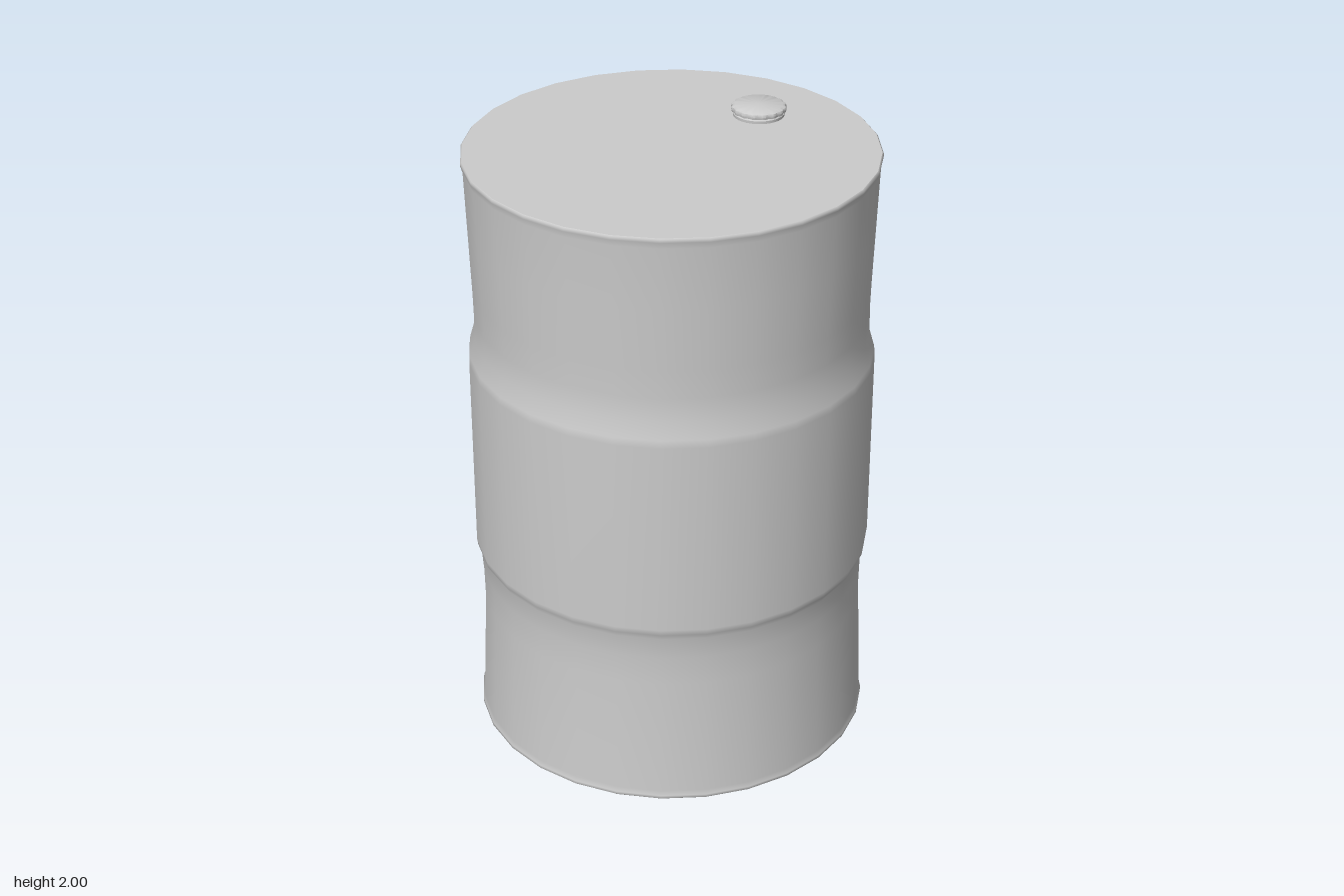
import * as THREE from 'three';
import { toCreasedNormals } from 'three/addons/utils/BufferGeometryUtils.js';

const SIDES = 28;
const TEETH = 16;
const material = new THREE.MeshStandardMaterial({ color: 0xcccccc });

// Revolve [radius, height] pairs, listed from bottom to top
function revolve(name, profile, sides) {
  const points = profile.map(([r, y]) => new THREE.Vector2(r, y));
  const mesh = new THREE.Mesh(new THREE.LatheGeometry(points, sides, Math.PI / sides), material);
  mesh.name = name;
  return mesh;
}

export function createModel() {
  const model = new THREE.Group();
  model.name = 'drum';

  // Shell: two waisted ends around a wider middle band
  model.add(revolve('shell', [
    [0.63, 0], [0.637, 0.006], [0.636, 0.015], [0.631, 0.03],
    [0.623, 0.24], [0.615, 0.43], [0.617, 0.53], [0.623, 0.605], [0.633, 0.625], [0.636, 0.645],
    [0.636, 1.285], [0.633, 1.31], [0.617, 1.365], [0.615, 1.44], [0.617, 1.53],
    [0.624, 1.73], [0.631, 1.93], [0.637, 1.95], [0.637, 1.959], [0.633, 1.963],
  ], SIDES));

  // Flat ends
  model.add(revolve('bottom', [[0, 0], [0.63, 0]], SIDES));
  model.add(revolve('lid', [[0.633, 1.963], [0, 1.963]], SIDES));

  // Filler cap: plain collar under a crimped crown
  const cap = new THREE.Group();
  cap.name = 'fillerCap';
  cap.position.set(0.37, 0, 0.07);

  const collar = revolve('collar', [[0.08, 1.96], [0.081, 1.972], [0.076, 1.978], [0.07, 1.982]], 32);
  collar.geometry = toCreasedNormals(collar.geometry, 0.6);

  const crown = revolve('crown', [
    [0.068, 1.976], [0.083, 1.978], [0.085, 1.986], [0.083, 1.993], [0.074, 1.998], [0, 2],
  ], TEETH * 4);
  const pos = crown.geometry.attributes.position;
  // Scallop the outer rings only
  for (let i = 0; i < pos.count; i++) {
    const x = pos.getX(i), z = pos.getZ(i);
    if (Math.hypot(x, z) < 0.08) continue;
    const scale = 1 + 0.03 * Math.cos(TEETH * Math.atan2(z, x));
    pos.setX(i, x * scale);
    pos.setZ(i, z * scale);
  }
  crown.geometry = toCreasedNormals(crown.geometry, 0.7);

  cap.add(collar, crown);
  model.add(cap);
  return model;
}
